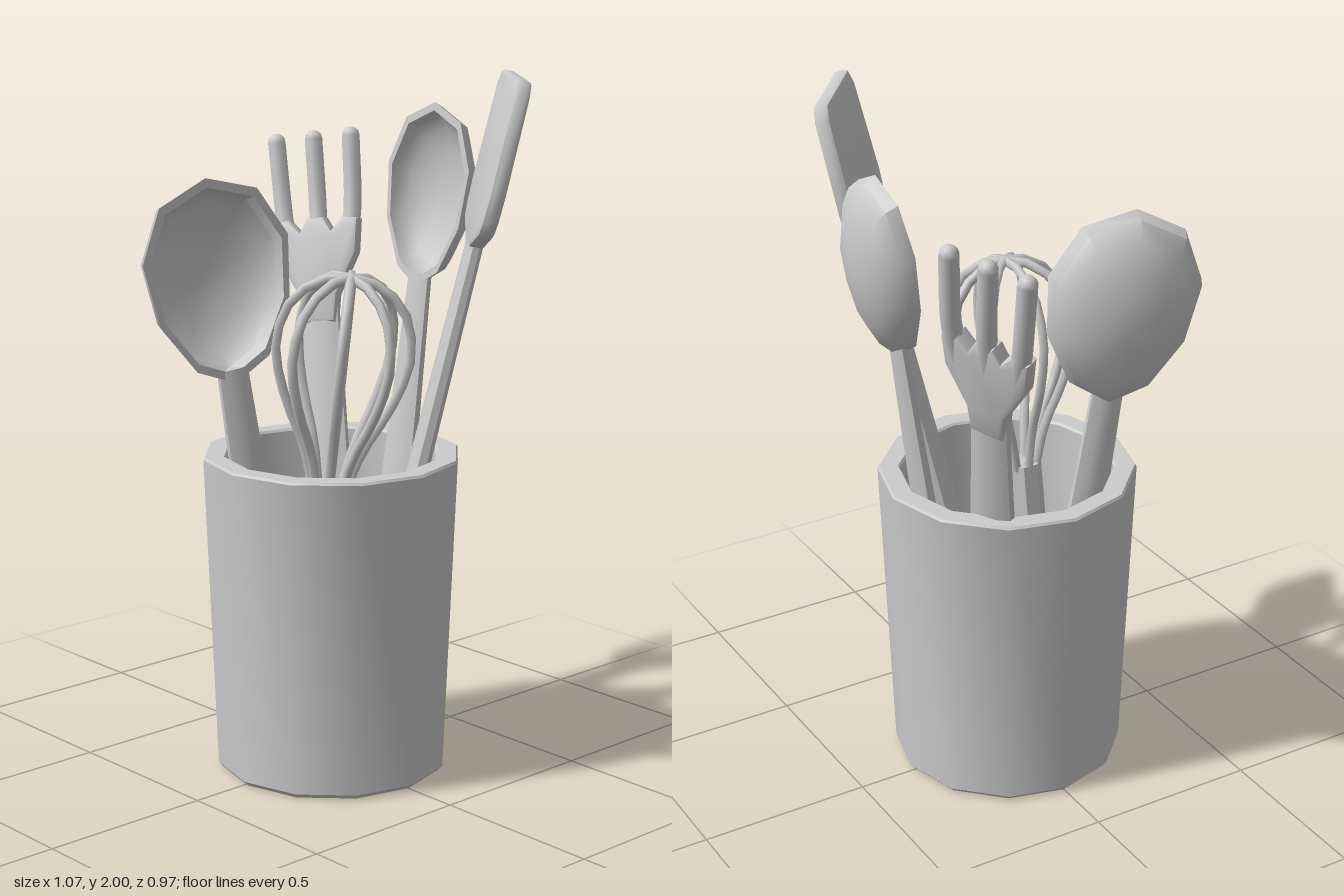
import * as THREE from 'three';
import { toCreasedNormals } from 'three/addons/utils/BufferGeometryUtils.js';

const material = new THREE.MeshStandardMaterial({ color: 0xcccccc });
const V2 = (x, y) => new THREE.Vector2(x, y);
const V3 = (x, y, z) => new THREE.Vector3(x, y, z);

function addMesh(parent, name, geometry, crease = 0.7) {
  const mesh = new THREE.Mesh(crease ? toCreasedNormals(geometry, crease) : geometry, material);
  mesh.name = name;
  parent.add(mesh);
  return mesh;
}

// Group standing at base, with +y pointing to tip and +z turned towards facing
function leaningGroup(name, base, tip, facing) {
  const y = tip.clone().sub(base).normalize();
  const z = facing.clone().addScaledVector(y, -facing.dot(y)).normalize();
  const x = y.clone().cross(z);
  const group = new THREE.Group();
  group.name = name;
  group.quaternion.setFromRotationMatrix(new THREE.Matrix4().makeBasis(x, y, z));
  group.position.copy(base);
  return group;
}

// Flat tapered handle with chamfered edges
function addHandle(group, length, topWidth, bottomWidth, flatness = 0.5) {
  const geo = new THREE.CylinderGeometry(topWidth / 2, bottomWidth / 2, length, 8);
  geo.rotateY(Math.PI / 8).scale(1.06, 1, flatness).translate(0, length / 2, 0);
  return addMesh(group, 'handle', geo);
}

function extrudeFlat(points, thickness, bevel) {
  const geo = new THREE.ExtrudeGeometry(new THREE.Shape(points), {
    depth: thickness - 2 * bevel, bevelThickness: bevel, bevelSize: bevel,
    bevelOffset: -bevel, bevelSegments: 2,
  });
  return geo.translate(0, 0, bevel - thickness / 2);
}

// Spoon: egg-shaped hollow bowl on a tapered handle
function makeSpoon(name, base, centre, facing, rx, ry, depth, neck, foot) {
  const spoon = leaningGroup(name, base, centre, facing);
  const length = centre.distanceTo(base);
  addHandle(spoon, length - ry * 0.86, neck, foot).position.z = -0.015;
  const profile = [];
  for (let i = 0; i <= 5; i++) {
    const a = (i / 5) * Math.PI / 2;
    profile.push(V2(Math.sin(a), -Math.cos(a)));
  }
  for (let i = 5; i >= 0; i--) {
    const a = (i / 5) * Math.PI / 2;
    profile.push(V2(0.91 * Math.sin(a), -0.86 * Math.cos(a)));
  }
  const bowl = new THREE.LatheGeometry(profile, 10);
  bowl.rotateX(Math.PI / 2).scale(rx, ry, depth);
  const p = bowl.attributes.position;
  for (let i = 0; i < p.count; i++) {
    p.setX(i, p.getX(i) * (1 + 0.18 * p.getY(i) / ry));
  }
  addMesh(spoon, 'bowl', bowl).position.y = length;
  return spoon;
}

// Fork: flared palm with three round tines
function makeFork() {
  const fork = leaningGroup('fork', V3(-0.01, 0.05, -0.045), V3(-0.41, 1.77, -0.31), V3(0.46, 0, 0.88));
  addHandle(fork, 1.32, 0.11, 0.18, 0.45);
  const half = [[0.05, 1.22], [0.06, 1.3], [0.125, 1.42], [0.135, 1.52], [0.085, 1.53], [0.05, 1.49], [0.028, 1.53]];
  const outline = [
    ...half.map(([x, y]) => V2(x, y)),
    ...half.slice().reverse().map(([x, y]) => V2(-x, y)),
  ];
  addMesh(fork, 'palm', extrudeFlat(outline, 0.055, 0.012));
  for (const side of [-1, 0, 1]) {
    const path = new THREE.CatmullRomCurve3([
      V3(side * 0.095, 1.44, 0), V3(side * 0.11, 1.56, -0.008), V3(side * 0.118, 1.765, 0.005),
    ]);
    addMesh(fork, 'tine', new THREE.TubeGeometry(path, 6, 0.028, 8), 0);
    const tip = addMesh(fork, 'tineTip', new THREE.SphereGeometry(0.028, 8, 6), 0);
    tip.position.copy(path.getPoint(1));
  }
  return fork;
}

// Spatula: flat blade with clipped corners
function makeSpatula() {
  const spatula = leaningGroup('spatula', V3(0.115, 0.05, 0.04), V3(0.4, 2, -0.325), V3(-0.62, 0, 0.78));
  addHandle(spatula, 1.6, 0.095, 0.15, 0.5);
  const half = [[0.04, 1.52], [0.155, 1.57], [0.178, 1.61], [0.19, 1.69], [0.172, 1.96], [0.145, 2.0]];
  const outline = [
    ...half.map(([x, y]) => V2(x, y)),
    ...half.slice().reverse().map(([x, y]) => V2(-x, y)),
  ];
  addMesh(spatula, 'blade', extrudeFlat(outline, 0.045, 0.012));
  return spatula;
}

// Whisk: four crossing wire loops on a round handle
function makeWhisk() {
  const whisk = leaningGroup('whisk', V3(0, 0.05, 0.11), V3(0.21, 1.48, 0.11), V3(0, 0, 1));
  addHandle(whisk, 0.82, 0.12, 0.13, 1);
  const half = [[0.038, 0.78], [0.08, 0.93], [0.15, 1.08], [0.186, 1.22], [0.16, 1.34], [0.09, 1.41]];
  const loop = new THREE.CatmullRomCurve3([
    ...half.map(([x, y]) => V3(-x, y, 0)),
    V3(0, 1.43, 0),
    ...half.slice().reverse().map(([x, y]) => V3(x, y, 0)),
  ]);
  for (let i = 0; i < 4; i++) {
    const wire = addMesh(whisk, 'wireLoop', new THREE.TubeGeometry(loop, 24, 0.014, 6), 0);
    wire.rotation.y = i * Math.PI / 4;
  }
  return whisk;
}

export function createModel() {
  const model = new THREE.Group();
  model.name = 'utensilHolder';

  // Tapered twelve-sided pot with a thick rim
  const profile = [
    [0, 0], [0.322, 0], [0.335, 0.014], [0.37, 0.92], [0.365, 0.927],
    [0.311, 0.927], [0.305, 0.92], [0.285, 0.05], [0, 0.05],
  ].map(([r, y]) => V2(r, y));
  addMesh(model, 'pot', new THREE.LatheGeometry(profile, 12), 0.6).position.x = 0.01;

  model.add(
    makeSpoon('spoon', V3(0.01, 0.05, -0.14), V3(0.01, 1.625, -0.362), V3(0, 0, 1), 0.163, 0.265, 0.115, 0.08, 0.165),
    makeSpoon('ladle', V3(-0.04, 0.05, 0.11), V3(-0.155, 1.425, 0.265), V3(0.965, 0, 0.26), 0.222, 0.292, 0.14, 0.09, 0.14),
    makeFork(), makeSpatula(), makeWhisk(),
  );
  return model;
}
